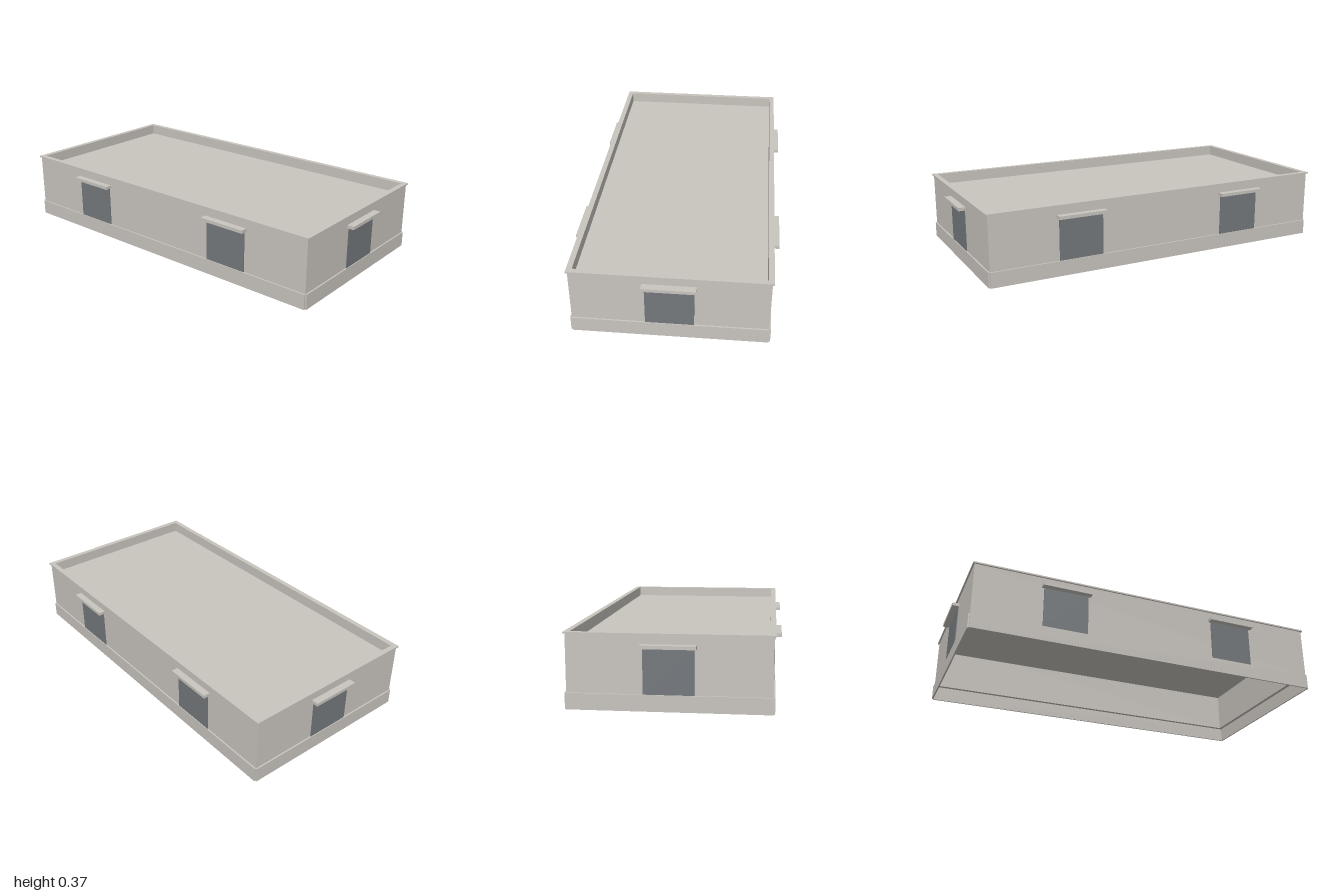
import * as THREE from 'three';

const concrete = new THREE.MeshStandardMaterial({ color: 0xc8c4be });
concrete.name = 'concrete';
const darkGlass = new THREE.MeshStandardMaterial({ color: 0x73787c });
darkGlass.name = 'dark glass';

// Box given by its bounds along each axis
function box(name, material, [x0, x1], [y0, y1], [z0, z1]) {
  const mesh = new THREE.Mesh(new THREE.BoxGeometry(x1 - x0, y1 - y0, z1 - z0), material);
  mesh.position.set((x0 + x1) / 2, (y0 + y1) / 2, (z0 + z1) / 2);
  mesh.name = name;
  return mesh;
}

// Rectangular ring standing from y0 to y1, open in the middle
function ring(name, outerX, outerZ, innerX, innerZ, y0, y1) {
  const rect = (path, x, z) => path.moveTo(-x, -z).lineTo(x, -z).lineTo(x, z).lineTo(-x, z).closePath();
  const shape = new THREE.Shape();
  rect(shape, outerX, outerZ);
  const hole = new THREE.Path();
  rect(hole, innerX, innerZ);
  shape.holes.push(hole);
  const geometry = new THREE.ExtrudeGeometry(shape, { depth: y1 - y0, bevelEnabled: false });
  geometry.rotateX(-Math.PI / 2);
  geometry.translate(0, y0, 0);
  const mesh = new THREE.Mesh(geometry, concrete);
  mesh.name = name;
  return mesh;
}

export function createModel() {
  const model = new THREE.Group();
  model.name = 'flatRoofBuilding';
  const X = 0.963, Z = 0.483; // outer faces of the walls
  const wall = 0.02, lip = 0.008;
  const plinthTop = 0.08, wallTop = 0.36, top = 0.368;

  // Walls, recessed roof and parapet coping
  model.add(ring('walls', X, Z, X - wall, Z - wall, plinthTop, wallTop));
  model.add(box('roof', concrete, [-X + wall, X - wall], [0.3, 0.31], [-Z + wall, Z - wall]));
  model.add(ring('coping', X + lip, Z + lip, X - wall, Z - wall, wallTop, top));

  for (const s of [-1, 1]) {
    const span = (a, b) => (s > 0 ? [a, b] : [-b, -a]);

    // Plinth plates, leaving a small notch at each corner
    model.add(box('longPlinth', concrete, [-X, X], [0, plinthTop], span(Z, Z + lip)));
    model.add(box('endPlinth', concrete, span(X, X + lip), [0, plinthTop], [-Z, Z]));

    // Two openings with canopies on each long side
    for (const x of [-0.48, 0.48]) {
      model.add(box('longSideOpening', darkGlass, [x - 0.12, x + 0.12], [plinthTop, 0.3], span(Z, Z + 0.004)));
      model.add(box('longSideCanopy', concrete, [x - 0.132, x + 0.132], [0.3, 0.317], span(Z, 0.519)));
    }

    // One opening with a canopy on each end
    model.add(box('endOpening', darkGlass, span(X, X + 0.004), [plinthTop, 0.3], [-0.12, 0.12]));
    model.add(box('endCanopy', concrete, span(X, 1), [0.3, 0.317], [-0.132, 0.132]));
  }
  return model;
}
